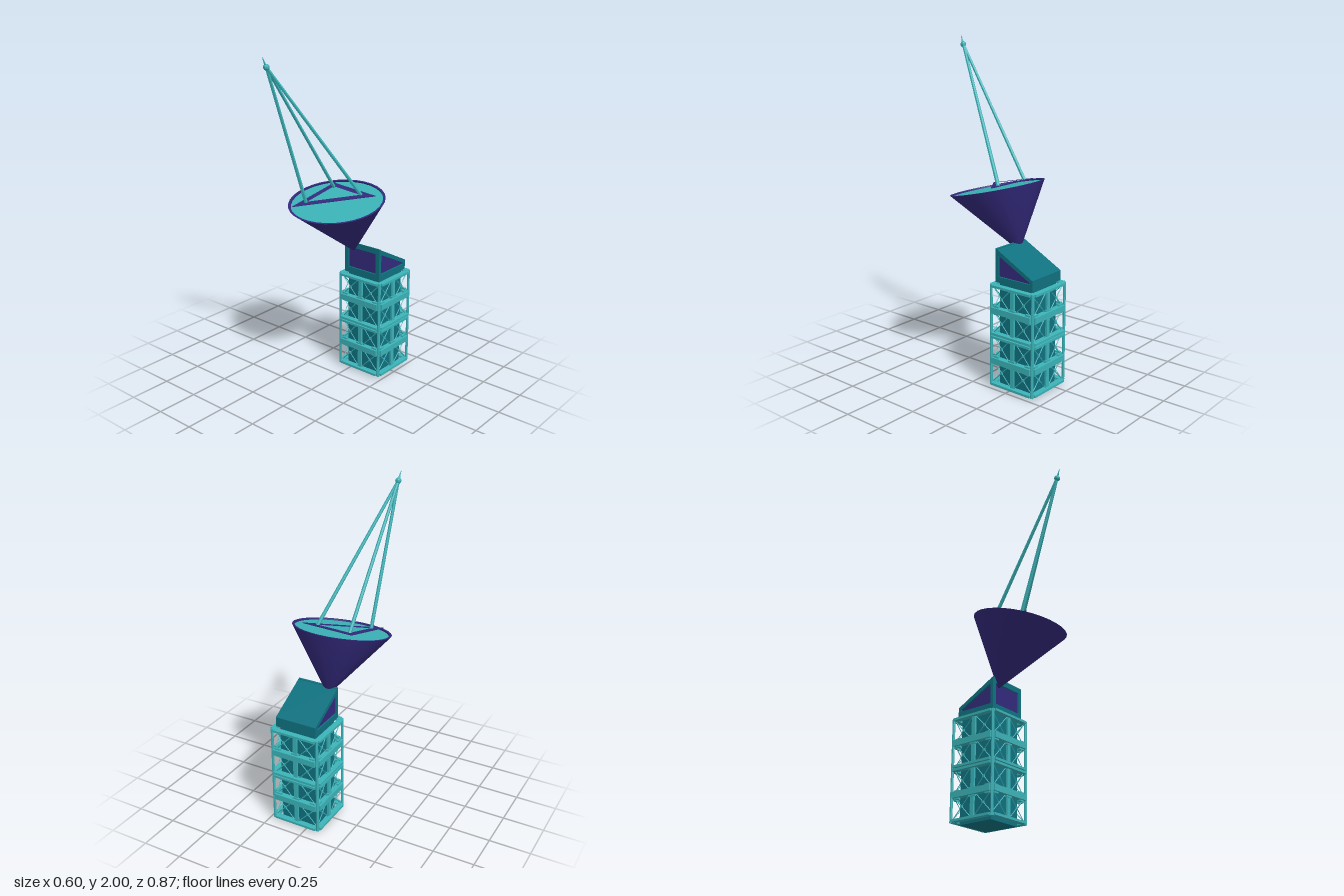
import * as THREE from 'three';
import { toCreasedNormals } from 'three/addons/utils/BufferGeometryUtils.js';

const material = (color, flatShading = true) => new THREE.MeshStandardMaterial({ color, flatShading });
const TEAL = material(0x0f717f), CYAN = material(0x3bb3b8), PURPLE = material(0x332a7c);
const PURPLE_SMOOTH = material(0x332a7c, false);
const V = (x, y, z) => new THREE.Vector3(x, y, z);

function add(parent, name, geometry, mat) {
  const mesh = new THREE.Mesh(geometry, mat);
  mesh.name = name;
  parent.add(mesh);
  return mesh;
}

function box(parent, name, mat, w, h, d, x, y, z) {
  const mesh = add(parent, name, new THREE.BoxGeometry(w, h, d), mat);
  mesh.position.set(x, y, z);
  return mesh;
}

// Round bar between two points
function rod(parent, name, mat, a, b, r0, r1 = r0, sides = 6) {
  const mesh = add(parent, name, new THREE.CylinderGeometry(r1, r0, a.distanceTo(b), sides), mat);
  mesh.position.copy(a).lerp(b, 0.5);
  mesh.quaternion.setFromUnitVectors(V(0, 1, 0), b.clone().sub(a).normalize());
  return mesh;
}

// Side profile in (z, y), extruded along x and centred
function profile(parent, name, mat, points, width) {
  const shape = new THREE.Shape(points.map(([z, y]) => new THREE.Vector2(z, y)));
  const geo = new THREE.ExtrudeGeometry(shape, { depth: width, bevelEnabled: false });
  geo.translate(0, 0, -width / 2).rotateY(-Math.PI / 2);
  return add(parent, name, geo, mat);
}

// One side of the lattice: rings, central bar and crossed braces
function latticeSide(angle) {
  const side = new THREE.Group();
  side.name = 'latticeSide';
  side.rotation.y = angle;
  for (const y of [0.02, 0.313, 0.333, 0.622]) {
    box(side, 'ringBeam', CYAN, 0.28, 0.014, 0.035, 0, y, 0.148);
  }
  for (const y of [0.167, 0.475]) {
    box(side, 'middleBeam', CYAN, 0.28, 0.036, 0.035, 0, y, 0.146);
    for (const s of [-1, 1]) box(side, 'gusset', CYAN, 0.035, 0.055, 0.014, s * 0.115, y, 0.145);
    box(side, 'centreGusset', CYAN, 0.045, 0.055, 0.014, 0, y, 0.145);
  }
  box(side, 'centreBar', CYAN, 0.026, 0.6, 0.012, 0, 0.32, 0.142);
  const levels = [0.025, 0.167, 0.323, 0.475, 0.62];
  for (let i = 0; i < 4; i++) {
    const lo = levels[i], hi = levels[i + 1];
    for (const s of [-1, 1]) {
      rod(side, 'brace', CYAN, V(s * 0.01, lo, 0.142), V(s * 0.148, hi, 0.142), 0.003, 0.003, 4);
      rod(side, 'brace', CYAN, V(s * 0.148, lo, 0.142), V(s * 0.01, hi, 0.142), 0.003, 0.003, 4);
      box(side, 'braceNode', CYAN, 0.014, 0.014, 0.008, s * 0.079, (lo + hi) / 2, 0.142);
    }
  }
  // Corner post with its stepped end blocks
  rod(side, 'cornerPost', CYAN, V(0.15, 0.01, 0.15), V(0.15, 0.628, 0.15), 0.009);
  for (const y of [0.02, 0.323, 0.622]) {
    box(side, 'cornerBlock', CYAN, 0.026, y === 0.323 ? 0.034 : 0.016, 0.026, 0.143, y, 0.143);
  }
  return side;
}

function tower() {
  const g = new THREE.Group();
  g.name = 'tower';
  box(g, 'core', TEAL, 0.23, 0.65, 0.23, 0, 0.325, 0);
  for (let i = 0; i < 4; i++) g.add(latticeSide(i * Math.PI / 2));
  return g;
}

// Wedge-shaped head with inset panels and a sloping roof
function head() {
  const g = new THREE.Group();
  g.name = 'wedgeHead';
  box(g, 'headBase', TEAL, 0.264, 0.035, 0.264, 0, 0.6575, 0);
  profile(g, 'insetPanels', PURPLE, [[0.122, 0.67], [0.122, 0.825], [-0.122, 0.69], [-0.122, 0.67]], 0.244);
  profile(g, 'slopingRoof', TEAL, [[0.132, 0.81], [0.132, 0.84], [-0.132, 0.70], [-0.132, 0.675]], 0.264);
  box(g, 'frontLintel', TEAL, 0.264, 0.032, 0.012, 0, 0.821, 0.126);
  for (const s of [-1, 1]) {
    box(g, 'frontPost', TEAL, 0.027, 0.16, 0.02, s * 0.1185, 0.75, 0.122);
    box(g, 'backPost', TEAL, 0.027, 0.03, 0.02, s * 0.1185, 0.68, -0.122);
  }
  return g;
}

// The rim lies in a tilted plane
const CENTRE = V(0, 1.14, 0.016), APEX = V(0, 0.785, -0.15);
const planeY = (z, lift) => CENTRE.y - 0.229 * (z - CENTRE.z) + lift;

function dish() {
  const g = new THREE.Group();
  g.name = 'dish';
  // Skew a unit cone so its rim and its axis tilt differently
  const skew = new THREE.Matrix4()
    .makeBasis(V(0.3, 0, 0), CENTRE.clone().sub(APEX), V(0, -0.06, 0.262))
    .setPosition(CENTRE);
  const outline = [[0, -1], [0.03, -0.985], [1, 0], [0.95, 0], [0.95, -0.03]];
  const cone = new THREE.LatheGeometry(outline.map(([r, h]) => new THREE.Vector2(r, h)), 32);
  add(g, 'dishCone', toCreasedNormals(cone.applyMatrix4(skew), 0.5), PURPLE_SMOOTH);
  const face = new THREE.CircleGeometry(0.955, 32).rotateX(-Math.PI / 2).translate(0, -0.025, 0);
  add(g, 'dishFace', face.applyMatrix4(skew), CYAN);

  // Triangular mounting frame, inset evenly toward its incentre
  const corners = [[-0.145, -0.135], [0.197, -0.10], [-0.18, 0.20]];
  const inset = (k) => corners.map(([x, z]) => [-0.056 + k * (x + 0.056), -0.026 + k * (z + 0.026)]);
  const flat = (pts) => pts.map(([x, z]) => new THREE.Vector2(x, -z));
  const shape = new THREE.Shape(flat(corners));
  shape.holes.push(new THREE.Path(flat(inset(0.64))));
  const frame = new THREE.ExtrudeGeometry(shape, { depth: 0.004, bevelEnabled: false });
  frame.rotateX(-Math.PI / 2);
  const p = frame.attributes.position;
  for (let i = 0; i < p.count; i++) p.setY(i, p.getY(i) + planeY(p.getZ(i), 0.012));
  frame.computeVertexNormals();
  add(g, 'triangleFrame', frame, PURPLE);

  // Tripod meeting at the feed
  const tip = V(-0.15, 1.945, 0.412);
  for (const [x, z] of [[-0.112, -0.095], [0.108, -0.078], [-0.136, 0.128]]) {
    rod(g, 'tripodStrut', CYAN, V(x, planeY(z, 0.014), z), tip, 0.011, 0.009);
  }
  const knob = add(g, 'feedKnob', new THREE.SphereGeometry(0.018, 10, 8), CYAN);
  knob.position.copy(tip);
  rod(g, 'feedSpike', CYAN, tip, V(-0.156, 2.0, 0.435), 0.008, 0.001);
  return g;
}

export function createModel() {
  const model = new THREE.Group();
  model.name = 'dishTower';
  const base = new THREE.Group();
  base.name = 'base';
  base.position.set(0.071, 0, -0.271);
  base.add(tower(), head());
  model.add(base, dish());
  return model;
}
